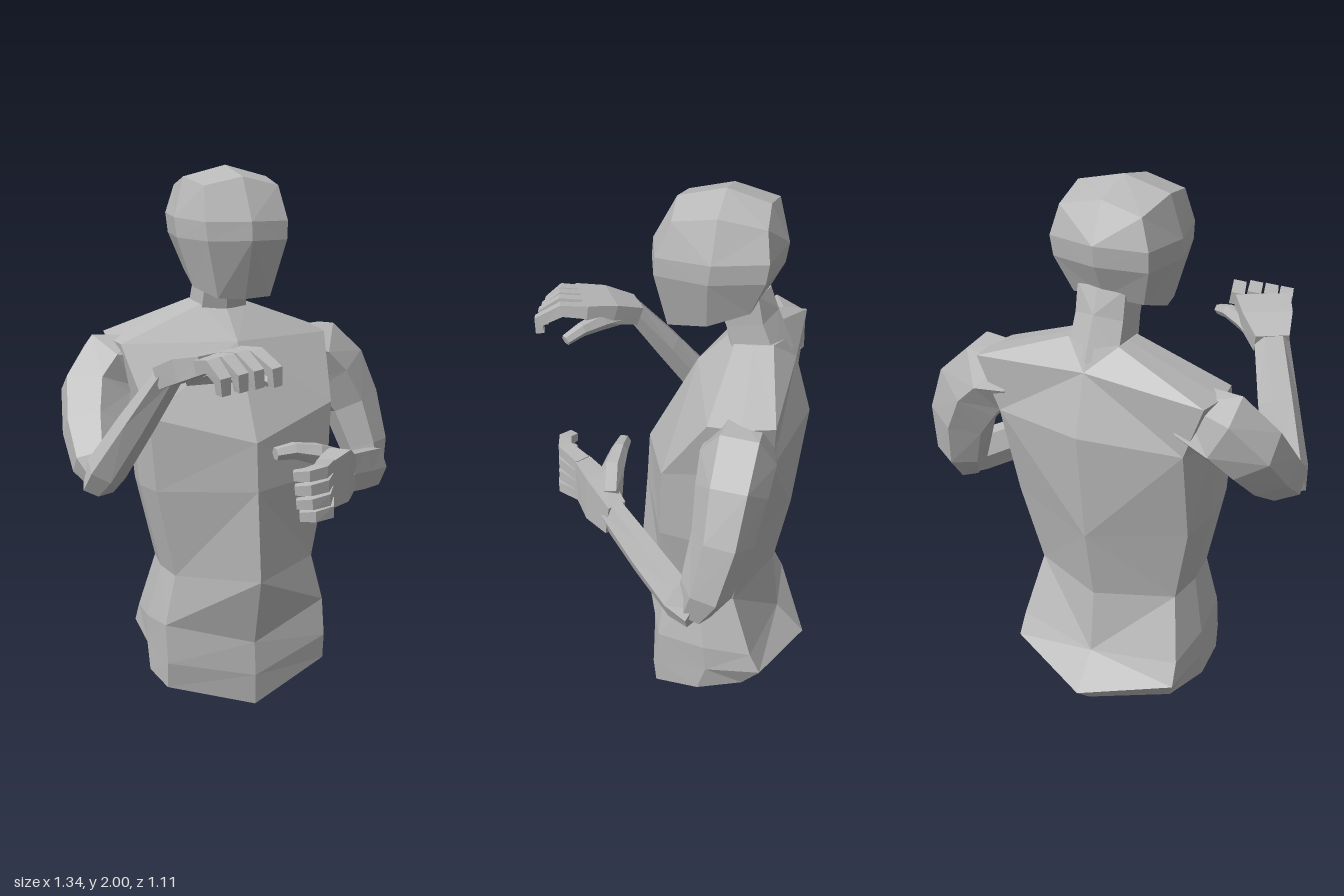
import * as THREE from 'three';

const grey = new THREE.MeshStandardMaterial({ color: 0xbababa, flatShading: true });
grey.name = 'plain grey';
const V = (x, y, z) => new THREE.Vector3(x, y, z);
const AXIS = -0.04; // the body's own centre line

// Skins a list of equal-length rings, closing both ends with a fan
function loft(name, rings, startTip, endTip) {
  const n = rings[0].length, tris = [];
  const centre = (r) => r.reduce((a, p) => a.add(p), V(0, 0, 0)).divideScalar(n);
  const first = rings[0], last = rings[rings.length - 1];
  const a0 = startTip || centre(first), a1 = endTip || centre(last);
  for (let i = 0; i < n; i++) {
    const j = (i + 1) % n;
    for (let k = 0; k + 1 < rings.length; k++) {
      const a = rings[k][i], b = rings[k][j], c = rings[k + 1][j], d = rings[k + 1][i];
      // Split along the shorter diagonal so both body halves match
      if (a.distanceTo(c) < b.distanceTo(d)) tris.push([a, b, c], [a, c, d]);
      else tris.push([a, b, d], [b, c, d]);
    }
    tris.push([a0, first[j], first[i]], [a1, last[i], last[j]]);
  }
  // Face outward: a positive enclosed volume means the order is right
  const volume = tris.reduce((s, [a, b, c]) => s + a.dot(b.clone().cross(c)), 0);
  const points = tris.flatMap(([a, b, c]) => (volume < 0 ? [a, c, b] : [a, b, c]));
  const geometry = new THREE.BufferGeometry().setFromPoints(points);
  geometry.computeVertexNormals();
  const mesh = new THREE.Mesh(geometry, grey);
  mesh.name = name;
  return mesh;
}

// Full ring from one half: front centre, side points, back centre
function mirrorRing(half, axis = AXIS) {
  const left = half.map(([x, y, z]) => V(axis + x, y, z));
  const right = half.slice(1, -1).reverse().map(([x, y, z]) => V(axis - x, y, z));
  return left.concat(right);
}

// Polygonal limb along stations [x, y, z, half width, half height]
function limb(name, stations, sides = 6, up = V(0, 1, 0)) {
  const pts = stations.map((s) => V(s[0], s[1], s[2]));
  const rings = stations.map(([, , , w, h], k) => {
    const t = pts[Math.min(k + 1, pts.length - 1)].clone().sub(pts[Math.max(k - 1, 0)]).normalize();
    const across = up.clone().cross(t).normalize(), over = t.clone().cross(across);
    return Array.from({ length: sides }, (_, i) => {
      const a = ((i + (sides === 4 ? 0.5 : 0)) / sides) * Math.PI * 2;
      const f = sides === 4 ? 1.41 : 1;
      return pts[k].clone().addScaledVector(across, Math.cos(a) * w * f).addScaledVector(over, Math.sin(a) * h * f);
    });
  });
  return loft(name, rings);
}

function createTorso() {
  // front y, z | front side x, y, z | back side x, y, z | back y, z
  const rows = [
    [0.0, 0.055, 0.325, 0.1, -0.02, 0.28, 0.11, -0.35, 0.07, -0.46],
    [0.12, 0.06, 0.325, 0.2, -0.01, 0.32, 0.22, -0.42, 0.165, -0.55],
    [0.25, 0.05, 0.325, 0.345, -0.03, 0.315, 0.3, -0.38, 0.285, -0.44],
    [0.51, 0.11, 0.28, 0.53, -0.04, 0.27, 0.53, -0.30, 0.53, -0.41],
    [0.85, 0.085, 0.345, 0.86, -0.04, 0.33, 0.84, -0.34, 0.81, -0.46],
    [1.03, 0.075, 0.362, 1.13, -0.05, 0.34, 1.2, -0.42, 1.22, -0.50],
    [1.375, -0.10, 0.41, 1.375, -0.21, 0.41, 1.395, -0.43, 1.43, -0.44],
    [1.49, -0.21, 0.09, 1.5, -0.24, 0.09, 1.51, -0.37, 1.5, -0.41],
  ];
  const rings = rows.map(([fy, fz, x1, y1, z1, x2, y2, z2, by, bz]) => mirrorRing([
    [0, fy, fz], [x1, y1, z1],
    [Math.max(x1, x2) * 1.04, (y1 + y2) / 2, (z1 + z2) / 2],
    [x2, y2, z2], [0, by, bz],
  ]));
  return loft('torso', rings, V(AXIS, 0.02, -0.2));
}

function createNeck() {
  return loft('neck', [
    mirrorRing([[0, 1.45, -0.21], [0.09, 1.45, -0.24], [0.09, 1.46, -0.38], [0, 1.46, -0.43]]),
    mirrorRing([[0, 1.56, -0.19], [0.085, 1.56, -0.21], [0.085, 1.58, -0.33], [0, 1.6, -0.37]]),
    mirrorRing([[0, 1.66, -0.15], [0.085, 1.66, -0.17], [0.085, 1.68, -0.31], [0, 1.68, -0.34]]),
  ]);
}

function createHead() {
  const axis = -0.052;
  return loft('head', [
    mirrorRing([[0, 1.54, 0], [0.1, 1.545, -0.01], [0.14, 1.575, -0.15], [0.125, 1.63, -0.29], [0, 1.645, -0.32]], axis),
    mirrorRing([[0, 1.745, 0.065], [0.15, 1.745, 0.025], [0.195, 1.75, -0.16], [0.165, 1.76, -0.34], [0, 1.765, -0.38]], axis),
    mirrorRing([[0, 1.81, 0.06], [0.155, 1.81, 0.02], [0.2, 1.82, -0.17], [0.17, 1.83, -0.35], [0, 1.835, -0.39]], axis),
    mirrorRing([[0, 1.96, -0.02], [0.14, 1.93, -0.03], [0.16, 1.96, -0.18], [0.14, 1.93, -0.335], [0, 1.96, -0.325]], axis),
  ], V(axis, 1.59, -0.16), V(axis, 2.0, -0.18));
}

function createLeftArm() {
  const arm = new THREE.Group();
  arm.name = 'leftArm';
  arm.add(
    limb('leftUpperArm', [
      [0.27, 1.3, -0.32, 0.11, 0.1], [0.385, 1.283, -0.317, 0.125, 0.14], [0.465, 1.205, -0.312, 0.118, 0.142],
      [0.54, 1.07, -0.3, 0.102, 0.12], [0.585, 0.89, -0.26, 0.088, 0.098], [0.59, 0.79, -0.22, 0.06, 0.06],
    ], 6, V(1, 0, 0)),
    limb('leftForearm', [
      [0.62, 0.8, -0.23, 0.045, 0.06], [0.58, 0.82, -0.165, 0.055, 0.085],
      [0.43, 0.86, -0.01, 0.05, 0.085], [0.28, 0.9, 0.14, 0.04, 0.08],
    ]),
    limb('leftPalm', [
      [0.3, 0.895, 0.12, 0.035, 0.065], [0.22, 0.92, 0.21, 0.042, 0.095], [0.12, 0.915, 0.29, 0.03, 0.085],
    ], 4),
    limb('leftThumb', [
      [0.26, 0.95, 0.145, 0.04, 0.05], [0.15, 0.995, 0.167, 0.042, 0.042],
      [0.06, 1.015, 0.165, 0.032, 0.032], [-0.01, 1.01, 0.165, 0.026, 0.024],
    ], 6),
  );
  // Four fingers stacked from index to little
  [0.99, 0.94, 0.89, 0.845].forEach((y, i) => {
    const x = i === 3 ? 0.025 : i * 0.006;
    arm.add(limb('leftFinger', [
      [0.13, 0.915 + (y - 0.915) * 0.9, 0.285, 0.028, 0.022], [0.065 + x, y, 0.37, 0.026, 0.021],
      [0.005 + x, y - 0.002, 0.387, 0.023, 0.019], [-0.035 + x, y - 0.005, 0.365, 0.018, 0.016],
    ], 4));
  });
  return arm;
}

function createRightArm() {
  const arm = new THREE.Group();
  arm.name = 'rightArm';
  arm.add(
    limb('rightUpperArm', [
      [-0.35, 1.3, -0.32, 0.11, 0.1], [-0.465, 1.283, -0.317, 0.125, 0.138], [-0.532, 1.2, -0.27, 0.118, 0.135],
      [-0.565, 1.085, -0.175, 0.105, 0.124], [-0.59, 0.98, -0.06, 0.085, 0.095], [-0.59, 0.94, -0.02, 0.055, 0.06],
    ], 6, V(1, 0, 0)),
    limb('rightForearm', [
      [-0.6, 0.91, -0.03, 0.07, 0.05], [-0.58, 0.98, 0.01, 0.08, 0.07],
      [-0.5, 1.16, 0.12, 0.073, 0.06], [-0.42, 1.34, 0.235, 0.063, 0.042],
    ]),
    limb('rightPalm', [
      [-0.425, 1.33, 0.22, 0.06, 0.036], [-0.37, 1.37, 0.31, 0.09, 0.038], [-0.315, 1.4, 0.405, 0.1, 0.028],
    ], 4),
    limb('rightThumb', [
      [-0.37, 1.335, 0.26, 0.045, 0.036], [-0.28, 1.345, 0.32, 0.038, 0.034],
      [-0.2, 1.345, 0.37, 0.027, 0.026], [-0.145, 1.325, 0.415, 0.022, 0.02],
    ], 6),
  );
  // Four fingers fanned from little to index: base x, base z, tip x, tip z
  [[-0.39, 0.445, -0.36, 0.54], [-0.34, 0.425, -0.3, 0.535], [-0.285, 0.4, -0.245, 0.53], [-0.235, 0.365, -0.18, 0.525]]
    .forEach(([bx, bz, tx, tz], i) => {
      const y = 1.395 + Math.min(i, 2) * 0.006, mid = (a, b, f) => a + (b - a) * f;
      arm.add(limb('rightFinger', [
        [bx, y, bz - 0.01, 0.025, 0.024], [mid(bx, tx, 0.5), y + 0.01, mid(bz, tz, 0.5), 0.024, 0.022],
        [tx, y - 0.03, tz, 0.02, 0.02], [tx + 0.004, y - 0.075, tz - 0.005, 0.017, 0.016],
      ], 4, V(0, 0.9, 0.45)));
    });
  return arm;
}

export function createModel() {
  const model = new THREE.Group();
  model.name = 'figureBust';
  model.add(createTorso(), createNeck(), createHead(), createLeftArm(), createRightArm());
  return model;
}
